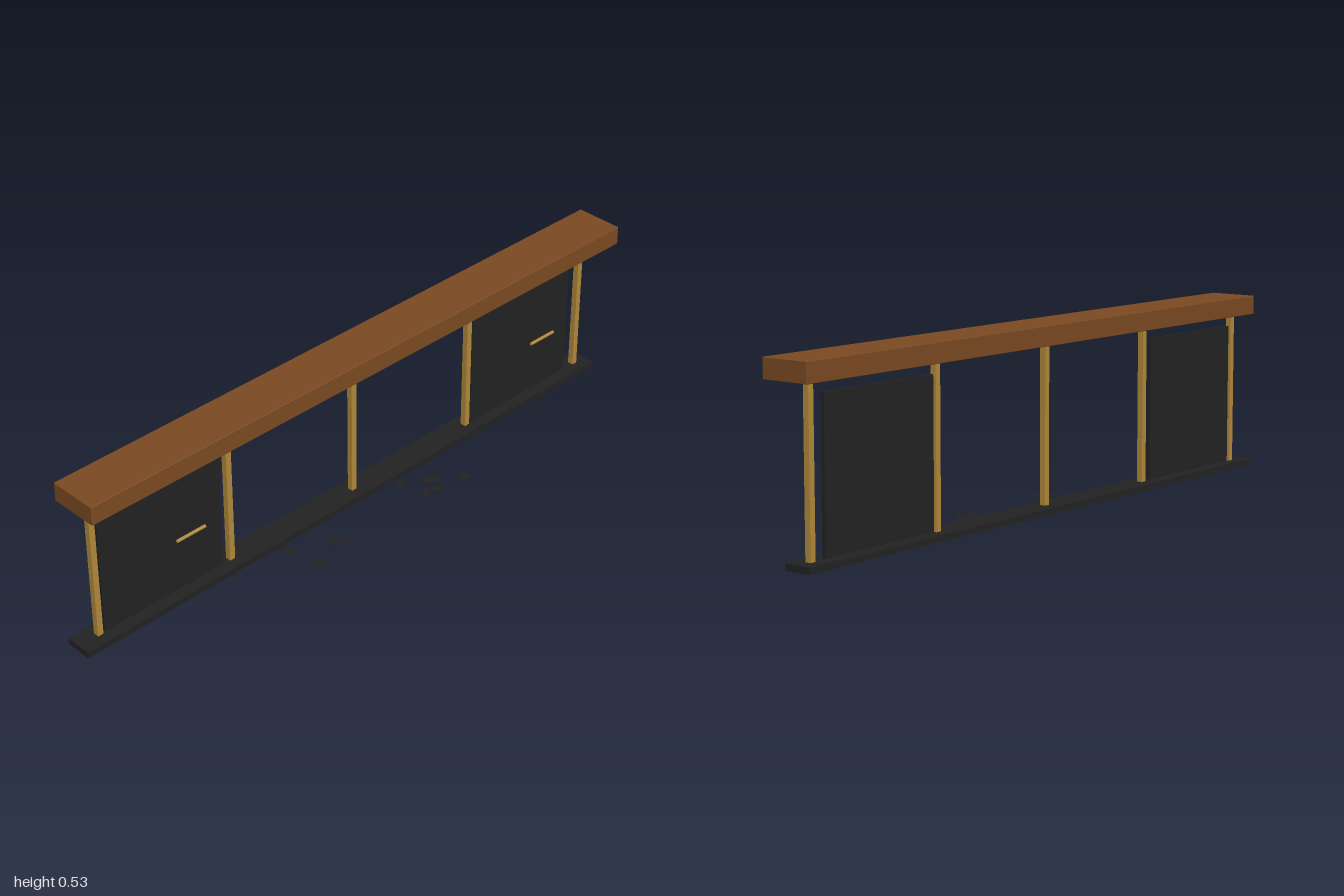
import * as THREE from 'three';
import { RoundedBoxGeometry } from 'three/addons/geometries/RoundedBoxGeometry.js';

const material = (name, color) => {
  const m = new THREE.MeshStandardMaterial({ color });
  m.name = name;
  return m;
};

export function createModel() {
  const model = new THREE.Group();
  const wood = material('brown wood', 0x7a4a22);
  const brass = material('brass', 0xb0883a);
  const dark = material('charcoal', 0x222222);

  const add = (name, geometry, mat, x, y, z) => {
    const mesh = new THREE.Mesh(geometry, mat);
    mesh.name = name;
    mesh.position.set(x, y, z);
    model.add(mesh);
    return mesh;
  };

  // Long counter on top and plinth on the floor
  add('counter', new RoundedBoxGeometry(2, 0.057, 0.15, 2, 0.002), wood, 0, 0.5015, -0.045);
  add('plinth', new THREE.BoxGeometry(2, 0.0195, 0.083), dark, 0, 0.01025, -0.0785);

  // Posts run through the plinth and show at its underside
  const postGeometry = new THREE.BoxGeometry(0.018, 0.468, 0.018);
  for (const x of [-0.93, -0.464, 0.003, 0.471, 0.953]) {
    add('post', postGeometry, brass, x, 0.234, -0.079);
  }

  // Door panels, each with a bar handle
  const doorGeometry = new THREE.BoxGeometry(0.417, 0.42, 0.012);
  const handleGeometry = new THREE.CylinderGeometry(0.005, 0.005, 0.1, 12).rotateZ(Math.PI / 2);
  for (const x of [-0.705, 0.695]) {
    add('door', doorGeometry, dark, x, 0.231, -0.079);
    add('handle', handleGeometry, brass, x + (x < 0 ? 0.099 : 0.098), 0.185, -0.07);
  }

  // Flat broken shards scattered on the floor
  const outline = [[-0.019, -0.01], [-0.002, -0.014], [0.017, -0.016], [0.014, 0.003],
    [0.019, 0.013], [-0.004, 0.011], [-0.014, 0.017]];
  const shardShape = new THREE.Shape(outline.map(([x, y]) => new THREE.Vector2(x, y)));
  const shardGeometry = new THREE.ExtrudeGeometry(shardShape, { depth: 0.0015, bevelEnabled: false });
  shardGeometry.rotateX(-Math.PI / 2);
  const shards = [[-0.29, 0.095], [-0.19, 0.045], [-0.155, 0.072], [-0.31, -0.005],
    [0.16, 0.065], [0.195, 0.08], [0.2, 0.027], [0.225, 0.037], [0.295, 0.088], [0.135, -0.01]];
  shards.forEach(([x, z], i) => {
    add('shard', shardGeometry, dark, x, 0.003, z).rotation.y = i * 1.9;
  });

  return model;
}
